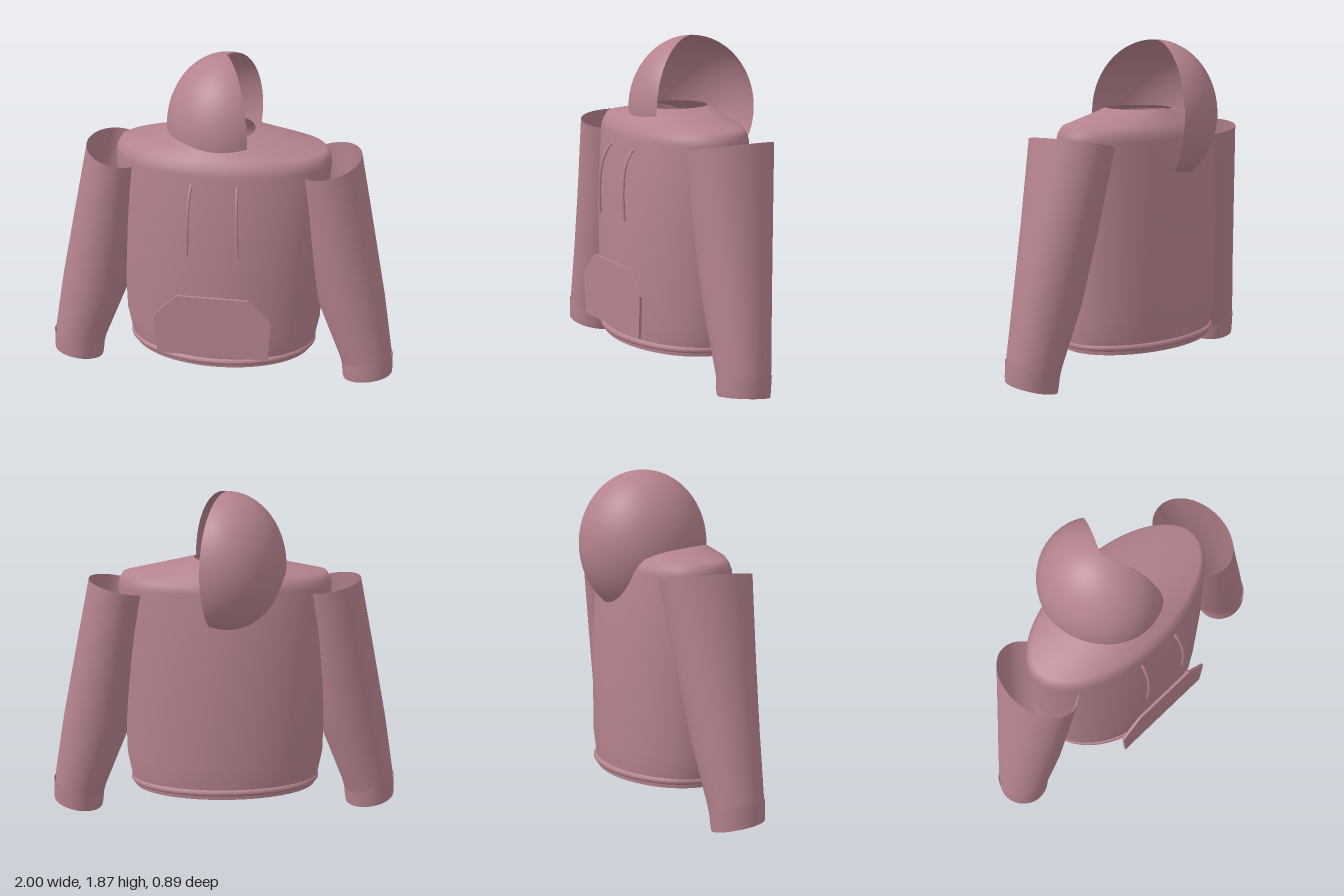
import * as THREE from 'three';

const fabric = new THREE.MeshStandardMaterial({ color: 0xb5838d, side: THREE.DoubleSide });
fabric.name = 'dusty rose fabric';

// Skin over elliptical rings [x, y, z, rx, rz, slopeX, slopeZ], listed from bottom to top
function loft(rings, cap = false, n = 64) {
  const pos = [], idx = [];
  for (const [x, y, z, rx, rz, sx = 0, sz = 0] of rings) {
    for (let i = 0; i < n; i++) {
      const a = (i / n) * Math.PI * 2;
      const dx = rx * Math.cos(a), dz = rz * Math.sin(a);
      pos.push(x + dx, y + sx * dx + sz * dz, z + dz);
    }
  }
  for (let r = 0; r < rings.length - 1; r++) {
    for (let i = 0; i < n; i++) {
      const a = r * n + i, b = r * n + ((i + 1) % n);
      idx.push(a, a + n, b, b, a + n, b + n);
    }
  }
  if (cap) {
    // closed end with its own vertices, so the rim stays sharp
    const base = pos.length / 3;
    pos.push(...pos.slice(0, n * 3), ...rings[0].slice(0, 3));
    for (let i = 0; i < n; i++) idx.push(base + i, base + ((i + 1) % n), base + n);
  }
  const g = new THREE.BufferGeometry();
  g.setAttribute('position', new THREE.Float32BufferAttribute(pos, 3));
  g.setIndex(idx);
  g.computeVertexNormals();
  return g;
}

export function createModel() {
  const model = new THREE.Group();
  model.name = 'hoodie';
  const add = (name, geometry, parent = model) => {
    const mesh = new THREE.Mesh(geometry, fabric);
    mesh.name = name;
    parent.add(mesh);
    return mesh;
  };
  const zc = 0.04;

  // Torso, open at hem and neck
  add('torso', loft([
    [0, 0.2, zc, 0.535, 0.355],
    [0, 0.35, zc, 0.565, 0.37],
    [0, 0.9, zc, 0.58, 0.37],
    [0, 1.33, zc, 0.605, 0.325],
    [0, 1.37, zc, 0.597, 0.31],
    [0, 1.405, zc, 0.575, 0.285],
    [0, 1.485, zc - 0.01, 0.175, 0.19],
  ], false, 96));

  // Hem band with a rolled edge
  add('hemBand', loft([[0, 0.16, zc, 0.52, 0.35], [0, 0.205, zc, 0.525, 0.352]], false, 96));
  const ring = [];
  for (let i = 0; i < 48; i++) {
    const a = (i / 48) * Math.PI * 2;
    ring.push(new THREE.Vector3(0.525 * Math.cos(a), 0.2, zc + 0.355 * Math.sin(a)));
  }
  add('hemRoll', new THREE.TubeGeometry(new THREE.CatmullRomCurve3(ring, true), 128, 0.019, 10, true));

  // Hood: an ellipsoid shell with a wedge left open
  const hood = new THREE.SphereGeometry(1, 64, 48,
    THREE.MathUtils.degToRad(-118.5), THREE.MathUtils.degToRad(237), 0, Math.PI * 0.82);
  hood.scale(0.335, 0.41, 0.362);
  add('hood', hood).position.set(0, 1.46, -0.082);

  // Sleeves, cuffs and drawstrings, mirrored
  for (const s of [1, -1]) {
    const side = new THREE.Group();
    side.name = s > 0 ? 'leftSide' : 'rightSide';
    side.scale.x = s;
    model.add(side);

    add('sleeve', loft([
      [0.852, 0.1, 0.108, 0.138, 0.142, 0.18, 0.15],
      [0.842, 0.17, 0.105, 0.148, 0.15, 0.18, 0.13],
      [0.75, 0.5, 0.085, 0.185, 0.182, 0.2, 0.09],
      [0.67, 0.9, 0.062, 0.186, 0.22, 0.21, 0.04],
      [0.592, 1.33, 0.04, 0.178, 0.26, 0.22, 0],
    ]), side);

    add('cuff', loft([
      [0.86, 0.033, 0.112, 0.14, 0.142, 0.18, 0.15],
      [0.858, 0.055, 0.112, 0.143, 0.145, 0.18, 0.15],
      [0.852, 0.15, 0.107, 0.147, 0.149, 0.18, 0.13],
    ], true), side);

    const cord = new THREE.CatmullRomCurve3([
      [0.125, 1.285, 0.35], [0.128, 1.25, 0.385], [0.132, 1.17, 0.42],
      [0.136, 1.06, 0.434], [0.14, 0.885, 0.433],
    ].map(p => new THREE.Vector3(...p)));
    add('drawstring', new THREE.TubeGeometry(cord, 32, 0.008, 10, false), side);
  }

  // Front pocket panel with slanted hand openings
  const shape = new THREE.Shape([
    [-0.315, 0.26], [0.315, 0.26], [0.33, 0.5], [0.2, 0.63], [-0.2, 0.63], [-0.33, 0.5],
  ].map(p => new THREE.Vector2(...p)));
  add('pocket', new THREE.ExtrudeGeometry(shape, { depth: 0.015, bevelEnabled: false })).position.z = 0.428;

  return model;
}
